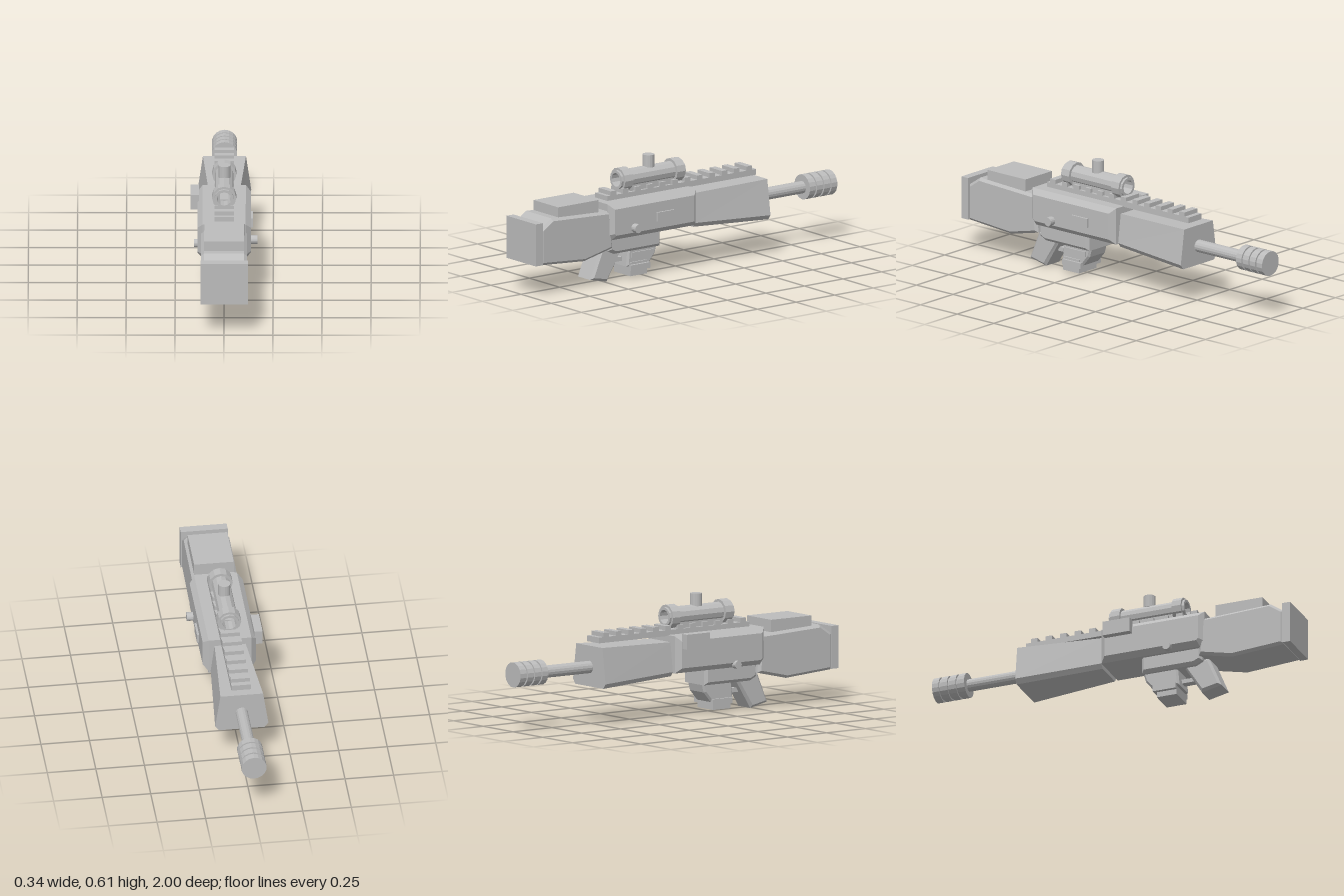
import * as THREE from 'three';

export function createModel() {
  const model = new THREE.Group();
  model.name = 'toyBlaster';
  const grey = new THREE.MeshStandardMaterial({ color: 0xbcbcbc, flatShading: true });
  grey.name = 'plain grey';

  const add = (name, geometry, x = 0, y = 0, z = 0) => {
    const mesh = new THREE.Mesh(geometry, grey);
    mesh.name = name;
    mesh.position.set(x, y, z);
    model.add(mesh);
    return mesh;
  };

  // Box from its limits on each axis
  const box = (name, [x0, x1], [y0, y1], [z0, z1]) =>
    add(name, new THREE.BoxGeometry(x1 - x0, y1 - y0, z1 - z0),
      (x0 + x1) / 2, (y0 + y1) / 2, (z0 + z1) / 2);

  // Bevelled slab from a side profile of [z, y] points
  const slab = (name, points, half, bevel) => {
    const shape = new THREE.Shape(points.map(([z, y]) => new THREE.Vector2(-z, y)));
    const g = new THREE.ExtrudeGeometry(shape, {
      depth: 2 * (half - bevel), bevelEnabled: true, bevelSegments: 1,
      bevelSize: bevel, bevelThickness: bevel, bevelOffset: -bevel,
    });
    g.translate(0, 0, bevel - half);
    g.rotateY(Math.PI / 2);
    return add(name, g);
  };

  // Cylinder along x or z
  const rod = (name, r, length, axis, x, y, z, sides = 16) => {
    const g = new THREE.CylinderGeometry(r, r, length, sides);
    if (axis === 'x') g.rotateZ(Math.PI / 2);
    if (axis === 'z') g.rotateX(Math.PI / 2);
    return add(name, g, x, y, z);
  };

  // Stock
  box('buttPad', [-0.119, 0.123], [0.172, 0.393], [0.955, 1]);
  slab('stock', [[0.96, 0.355], [0.887, 0.405], [0.51, 0.388], [0.49, 0.19], [0.673, 0.148], [0.96, 0.168]], 0.117, 0.014);
  box('cheekRest', [-0.101, 0.103], [0.385, 0.455], [0.58, 0.84]);

  // Receiver and lower frame
  slab('receiver', [[0.525, 0.425], [-0.045, 0.425], [-0.045, 0.233], [0.5, 0.233], [0.525, 0.26]], 0.137, 0.027);
  slab('lowerFrame', [[0.5, 0.25], [0.165, 0.25], [0.165, 0.15], [0.46, 0.15], [0.5, 0.17]], 0.095, 0.016);

  // Handguard, widening towards the muzzle
  const section = (z, pts) => [
    ...pts.map(([x, y]) => [x, y, z]),
    ...[...pts].reverse().map(([x, y]) => [-x, y, z]),
  ];
  const rear = section(-0.05, [[0.083, 0.217], [0.1, 0.24], [0.08, 0.392]]);
  const front = section(-0.51, [[0.118, 0.195], [0.137, 0.22], [0.11, 0.405]]);
  const verts = [];
  const tri = (a, b, c) => verts.push(...a, ...b, ...c);
  for (let i = 0; i < 6; i++) {
    const j = (i + 1) % 6;
    tri(rear[i], front[i], front[j]);
    tri(rear[i], front[j], rear[j]);
    if (i > 0 && i < 5) {
      tri(rear[0], rear[i], rear[j]);
      tri(front[0], front[j], front[i]);
    }
  }
  const guard = new THREE.BufferGeometry();
  guard.setAttribute('position', new THREE.Float32BufferAttribute(verts, 3));
  guard.computeVertexNormals();
  add('handguard', guard);

  // Barrel and ridged muzzle
  rod('barrel', 0.032, 0.4, 'z', 0, 0.295, -0.65);
  const ridges = [[0, 0]];
  for (let i = 0; i < 4; i++) {
    const s = i * 0.047;
    ridges.push([0.065, s], [0.065, s + 0.037]);
    if (i < 3) ridges.push([0.056, s + 0.037], [0.056, s + 0.047]);
  }
  ridges.push([0, 0.178]);
  const muzzle = new THREE.LatheGeometry(ridges.map(([r, y]) => new THREE.Vector2(r, y)), 18);
  muzzle.rotateX(Math.PI / 2);
  add('muzzle', muzzle, 0, 0.296, -1);

  // Toothed top rail
  box('railBase', [-0.05, 0.05], [0.42, 0.45], [-0.485, 0.48]);
  for (let i = 0; i < 12; i++) {
    const z = 0.44 - i * 0.08;
    box('railTooth', [-0.05, 0.05], [0.45, 0.472], [z - 0.018, z + 0.018]);
  }

  // Hollow sight tube with collars at both ends
  const tube = [
    [0.036, 0], [0.05, 0], [0.05, 0.012], [0.062, 0.012], [0.062, 0.064], [0.048, 0.064],
    [0.048, 0.35], [0.062, 0.35], [0.062, 0.402], [0.05, 0.402], [0.05, 0.415], [0.036, 0.415], [0.036, 0],
  ];
  const sight = new THREE.LatheGeometry(tube.map(([r, y]) => new THREE.Vector2(r, y)), 12);
  sight.rotateX(Math.PI / 2);
  add('sightTube', sight, 0, 0.512, -0.03);
  box('sightMount', [-0.035, 0.035], [0.45, 0.484], [0.04, 0.32]);
  add('sightDial', new THREE.CylinderGeometry(0.031, 0.031, 0.065, 16), 0.001, 0.585, 0.175);

  // Side details
  box('sideBlock', [-0.172, -0.13], [0.36, 0.437], [-0.015, 0.135]);
  rod('smallKnob', 0.021, 0.03, 'x', -0.14, 0.25, 0.33);
  rod('largeKnob', 0.023, 0.04, 'x', 0.15, 0.285, 0.37);
  box('sidePlate', [0.13, 0.148], [0.297, 0.345], [0.12, 0.228]);

  // Grip and trigger
  slab('grip', [[0.525, 0.19], [0.385, 0.165], [0.485, 0.003], [0.593, 0.027]], 0.063, 0.014);
  box('trigger', [-0.02, 0.02], [0.088, 0.11], [0.34, 0.435]);

  // Magazine with ribs and base
  slab('magazine', [[0.355, 0.165], [0.165, 0.165], [0.18, 0.11], [0.235, 0.045], [0.365, 0.065]], 0.067, 0.01);
  box('magazineRib', [-0.066, 0.074], [0.11, 0.137], [0.2, 0.34]);
  box('magazineRib', [-0.066, 0.074], [0.075, 0.087], [0.24, 0.35]);
  box('magazinePlate', [-0.079, 0.081], [0.043, 0.073], [0.225, 0.35]);
  box('magazineBase', [-0.06, 0.074], [0.015, 0.043], [0.24, 0.35]);

  return model;
}
